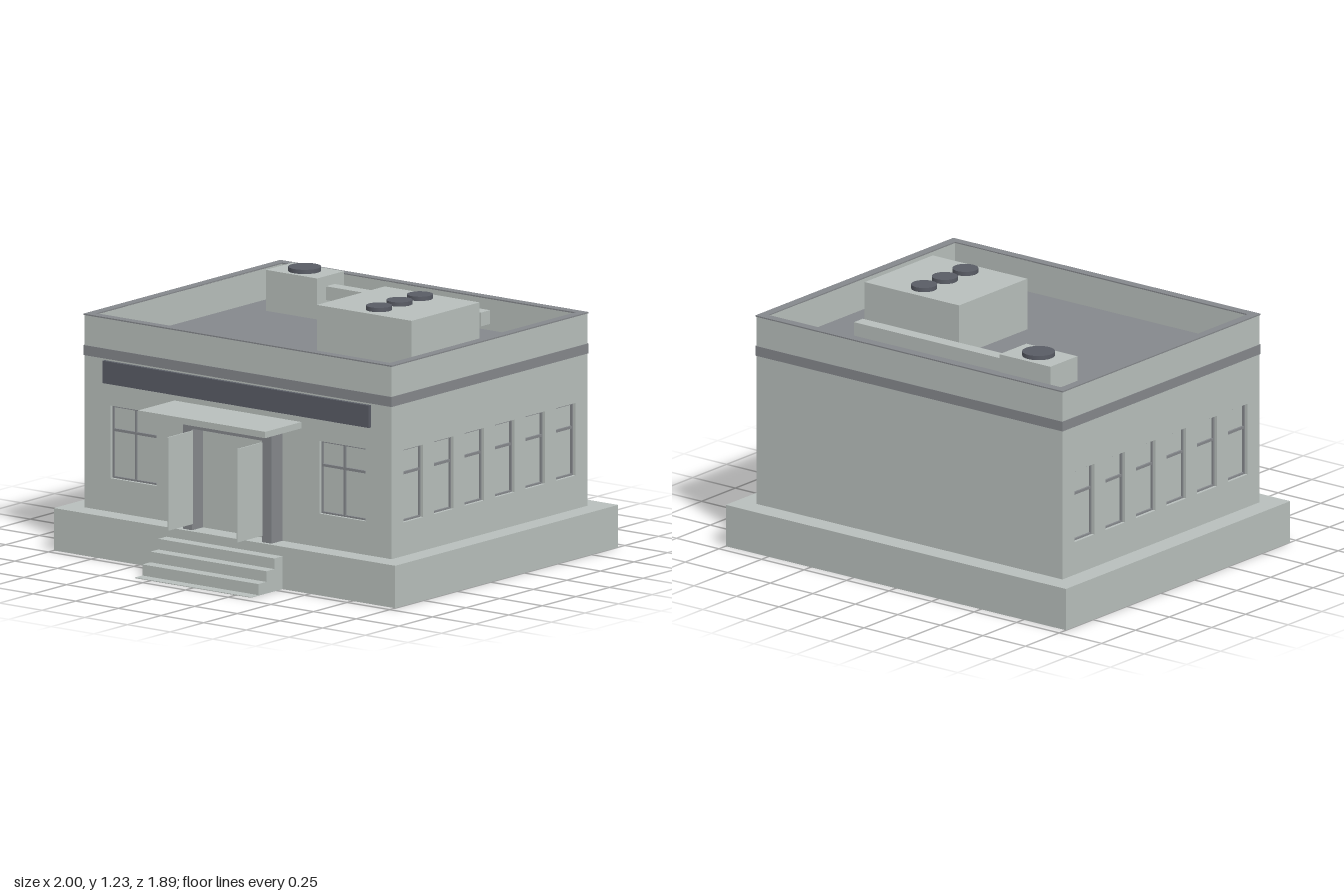
import * as THREE from 'three';

const mat = (name, color) => Object.assign(new THREE.MeshStandardMaterial({ color }), { name });

export function createModel() {
  const light = mat('lightConcrete', 0xb8bfbc);
  const mid = mat('midGrey', 0x85888c);
  const dark = mat('darkGrey', 0x595c65);
  const model = new THREE.Group();
  model.name = 'building';

  // Box given by its min and max corners
  const box = (name, material, [x0, y0, z0], [x1, y1, z1], parent = model) => {
    const m = new THREE.Mesh(new THREE.BoxGeometry(x1 - x0, y1 - y0, z1 - z0), material);
    m.position.set((x0 + x1) / 2, (y0 + y1) / 2, (z0 + z1) / 2);
    m.name = name;
    parent.add(m);
    return m;
  };
  const rect = (target, x0, y0, x1, y1) => {
    target.moveTo(x0, y0);
    target.lineTo(x1, y0);
    target.lineTo(x1, y1);
    target.lineTo(x0, y1);
    target.closePath();
    return target;
  };

  // Plinth and front steps
  box('plinth', light, [-1, 0, -0.95], [1, 0.2, 0.71]);
  [0.155, 0.105, 0.055, 0.003].forEach((h, i) => {
    const z = 0.71 + i * 0.06;
    box('step', light, [-0.34, 0, z], [0.34, h, Math.min(z + 0.06, 0.945)]);
  });

  // Recessed window: pane, thin frame and glazing bars
  const Y0 = 0.358, Y1 = 0.7, BAR = 0.585;
  const addWindow = (parent, cx, w, mullion) => {
    const g = new THREE.Group();
    g.name = 'window';
    g.position.x = cx;
    parent.add(g);
    const h = w / 2, t = 0.008, zb = -0.025, zf = -0.015;
    box('pane', light, [-h, Y0, -0.035], [h, Y1, zb], g);
    for (const s of [-1, 1]) {
      const a = s * h, b = s * (h - t);
      box('frameSide', mid, [Math.min(a, b), Y0, zb], [Math.max(a, b), Y1, zf], g);
    }
    box('frameBottom', mid, [-h + t, Y0, zb], [h - t, Y0 + t, zf], g);
    box('frameTop', mid, [-h + t, Y1 - t, zb], [h - t, Y1, zf], g);
    box('glazingBar', mid, [-h + t, BAR - 0.006, zb], [h - t, BAR + 0.006, zf], g);
    if (mullion) box('mullion', mid, [-0.005, Y0 + t, zb], [0.005, Y1 - t, zf - 0.001], g);
  };

  // Wall with window openings; its outer face lies on local z = 0
  const T = 0.04;
  const wall = (name, length, centres, w, mullion, x, z, turn) => {
    const g = new THREE.Group();
    g.name = name;
    const shape = rect(new THREE.Shape(), -length / 2, 0.2, length / 2, 1.108);
    for (const c of centres) shape.holes.push(rect(new THREE.Path(), c - w / 2, Y0, c + w / 2, Y1));
    const geo = new THREE.ExtrudeGeometry(shape, { depth: T, bevelEnabled: false });
    geo.translate(0, 0, -T);
    const m = new THREE.Mesh(geo, light);
    m.name = name + 'Panel';
    g.add(m);
    for (const c of centres) addWindow(g, c, w, mullion);
    g.position.set(x, 0, z);
    g.rotation.y = turn;
    model.add(g);
  };
  const side = [-0.567, -0.34, -0.113, 0.113, 0.34, 0.567];
  const ZC = -0.12;
  wall('frontWall', 1.8, [-0.612, 0.612], 0.27, true, 0, 0.61, 0);
  wall('backWall', 1.8, [], 0, false, 0, -0.85, Math.PI);
  wall('leftWall', 1.38, side, 0.145, false, 0.9, ZC, Math.PI / 2);
  wall('rightWall', 1.38, side, 0.145, false, -0.9, ZC, -Math.PI / 2);

  // Rectangular rings around the building: painted band and parapet cap
  const ring = (name, out, inn, y, h) => {
    const shape = rect(new THREE.Shape(), -0.9 - out, -0.73 - out, 0.9 + out, 0.73 + out);
    shape.holes.push(rect(new THREE.Path(), -0.9 + inn, -0.73 + inn, 0.9 - inn, 0.73 - inn));
    const geo = new THREE.ExtrudeGeometry(shape, { depth: h, bevelEnabled: false });
    geo.rotateX(-Math.PI / 2);
    const m = new THREE.Mesh(geo, mid);
    m.position.set(0, y, ZC);
    m.name = name;
    model.add(m);
  };
  ring('wallBand', 0.003, 0.01, 0.918, 0.047);
  ring('parapetCap', 0.003, T, 1.107, 0.006);

  box('roof', mid, [-0.86, 0.93, -0.81], [0.86, 0.96, 0.57]);

  // Entrance: sign board, portal, door leaves standing open, canopy
  box('signBoard', dark, [-0.78, 0.805, 0.61], [0.78, 0.91, 0.628]);
  for (const s of [-1, 1]) {
    const a = s * 0.205, b = s * 0.26;
    box('portalPost', mid, [Math.min(a, b), 0.2, 0.61], [Math.max(a, b), 0.745, 0.69]);
    box('doorLeaf', light, [s * 0.203 - 0.003, 0.23, 0.69], [s * 0.203 + 0.003, 0.67, 0.873]);
  }
  box('portalLintel', mid, [-0.205, 0.678, 0.61], [0.205, 0.745, 0.69]);
  box('canopy', light, [-0.372, 0.745, 0.61], [0.372, 0.775, 0.88]);

  // Rooftop equipment
  const fan = (x, y, z, r) => {
    const m = new THREE.Mesh(new THREE.CylinderGeometry(r, r, 0.02, 32), dark);
    m.position.set(x, y + 0.01, z);
    m.name = 'fan';
    model.add(m);
  };
  box('largeRoofUnit', light, [0.085, 0.96, -0.375], [0.64, 1.205, 0.13]);
  for (const z of [-0.275, -0.122, 0.03]) fan(0.37, 1.205, z, 0.06);
  box('smallRoofUnit', light, [-0.71, 0.96, -0.7], [-0.41, 1.153, -0.5]);
  fan(-0.56, 1.153, -0.598, 0.076);
  box('duct', light, [-0.41, 1.04, -0.63], [0.5, 1.105, -0.565]);

  return model;
}
